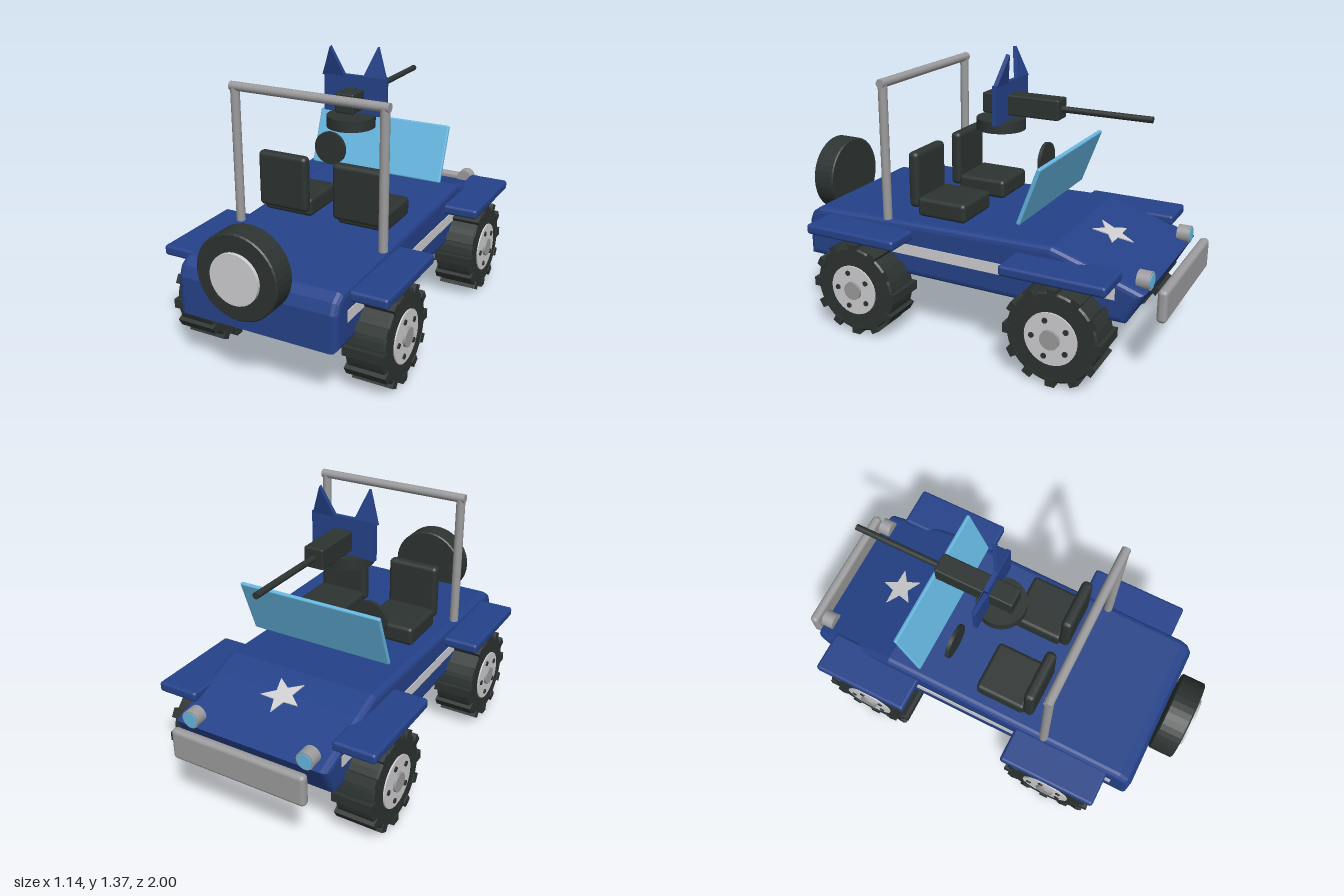
import * as THREE from 'three';
import { RoundedBoxGeometry } from 'three/addons/geometries/RoundedBoxGeometry.js';

function material(name, color) {
  const m = new THREE.MeshStandardMaterial({ color });
  m.name = name;
  return m;
}

export function createModel() {
  const blue = material('body blue', 0x25428a);
  const dark = material('rubber black', 0x2d3432);
  const light = material('light grey', 0xd0d0d2);
  const grey = material('metal grey', 0x9c9c9e);
  const glass = material('glass blue', 0x66b8e2);

  const root = new THREE.Group();
  root.name = 'offRoadCar';

  function add(name, geometry, mat, x = 0, y = 0, z = 0, parent = root) {
    const mesh = new THREE.Mesh(geometry, mat);
    mesh.name = name;
    mesh.position.set(x, y, z);
    parent.add(mesh);
    return mesh;
  }
  const rounded = (w, h, d, r) => new RoundedBoxGeometry(w, h, d, 3, r);
  const cylX = (r, len, n = 32) => new THREE.CylinderGeometry(r, r, len, n).rotateZ(-Math.PI / 2);
  const cylZ = (r, len, n = 32) => new THREE.CylinderGeometry(r, r, len, n).rotateX(Math.PI / 2);
  const shapeOf = (pts) => new THREE.Shape(pts.map(([a, b]) => new THREE.Vector2(a, b)));

  // Hull: side profile (z, y) extruded across the width
  const bevel = 0.03;
  const profile = shapeOf([
    [0.866, 0.30], [0.866, 0.48], [0.845, 0.53], [0.80, 0.56],
    [-0.48, 0.594], [-0.62, 0.552], [-0.916, 0.455], [-0.834, 0.30],
  ]);
  const hull = new THREE.ExtrudeGeometry(profile, {
    depth: 0.8 - 2 * bevel, bevelEnabled: true, bevelSize: bevel,
    bevelOffset: -bevel, bevelThickness: bevel, bevelSegments: 3,
  });
  hull.translate(0, 0, -0.4 + bevel).rotateY(-Math.PI / 2);
  add('body', hull, blue);

  // Fenders and side stripes
  for (const s of [1, -1]) {
    add('rearFender', rounded(0.21, 0.05, 0.5, 0.015), blue, s * 0.465, 0.515, 0.49);
    add('frontFender', rounded(0.21, 0.05, 0.5, 0.015), blue, s * 0.465, 0.515, -0.555);
    add('sideStripe', new THREE.BoxGeometry(0.008, 0.054, 1.556), light, s * 0.4, 0.438, -0.008);
  }

  // Wheels, outer face towards local +x
  function tyre(r, width, edge) {
    const h = width / 2;
    const pts = [[0, -h], [r - edge, -h], [r, -h + edge], [r, h - edge], [r - edge, h], [0, h]];
    // Each band gets its own points so that its edges stay sharp
    const geo = new THREE.LatheGeometry(pts.map(([a, b]) => new THREE.Vector2(a, b)), 40).toNonIndexed();
    geo.computeVertexNormals();
    return geo.rotateZ(-Math.PI / 2);
  }
  function wheel(x, z) {
    const g = new THREE.Group();
    g.name = 'wheel';
    g.position.set(x, 0.235, z);
    if (x < 0) g.rotation.y = Math.PI;
    add('tyre', tyre(0.217, 0.19, 0.008), dark, 0, 0, 0, g);
    for (let i = 0; i < 12; i++) {
      const a = (i / 12) * Math.PI * 2;
      const lug = add('treadLug', new THREE.BoxGeometry(0.2, 0.04, 0.045), dark,
        0, 0.215 * Math.cos(a), 0.215 * Math.sin(a), g);
      lug.rotation.x = a;
    }
    add('rim', cylX(0.126, 0.02), light, 0.092, 0, 0, g);
    add('hubCap', cylX(0.046, 0.03), grey, 0.1, 0, 0, g);
    for (let i = 0; i < 5; i++) {
      const a = (i / 5) * Math.PI * 2 + 0.3;
      add('wheelNut', cylX(0.013, 0.02, 10), dark, 0.098, 0.09 * Math.cos(a), 0.09 * Math.sin(a), g);
    }
    root.add(g);
  }
  for (const x of [0.448, -0.448]) for (const z of [0.49, -0.555]) wheel(x, z);

  // Spare wheel on the tail
  const spare = add('spareTyre', tyre(0.198, 0.12, 0.006), dark, 0, 0.615, 0.923);
  spare.rotation.y = -Math.PI / 2;
  add('spareRim', cylZ(0.117, 0.03), light, 0, 0.615, 0.985);

  // Seats
  for (const s of [1, -1]) {
    add('seatCushion', rounded(0.262, 0.095, 0.26, 0.02), dark, s * 0.2, 0.637, 0.12);
    add('seatBack', rounded(0.262, 0.276, 0.055, 0.022), dark, s * 0.2, 0.766, 0.271);
  }

  // Roll bar
  for (const s of [1, -1]) {
    add('rollBarPost', new THREE.CylinderGeometry(0.022, 0.022, 0.67, 12), grey, s * 0.38, 0.905, 0.388);
  }
  add('rollBarTop', cylX(0.022, 0.804, 12), grey, 0, 1.235, 0.388);

  // Windscreen leaning towards the tail at its base
  const screen = add('windscreen', rounded(0.74, 0.295, 0.02, 0.008), glass, 0, 0.795, -0.354);
  screen.rotation.x = -0.355;
  add('steeringWheel', cylZ(0.088, 0.018), dark, -0.2, 0.793, -0.184);

  // Front bumper and headlights
  add('bumper', rounded(0.692, 0.155, 0.046, 0.02), grey, 0, 0.393, -0.977);
  for (const s of [1, -1]) {
    add('headlight', cylZ(0.043, 0.06), grey, s * 0.3, 0.487, -0.886);
    add('headlightLens', cylZ(0.036, 0.008), glass, s * 0.3, 0.487, -0.916);
  }

  // Star lying on the sloped bonnet
  const star = [];
  for (let i = 0; i < 10; i++) {
    const a = Math.PI / 2 + (i * Math.PI) / 5;
    const r = i % 2 ? 0.044 : 0.106;
    star.push([r * Math.cos(a), r * Math.sin(a)]);
  }
  const starGeo = new THREE.ExtrudeGeometry(shapeOf(star), { depth: 0.008, bevelEnabled: false });
  const bonnetStar = add('bonnetStar', starGeo.rotateX(-Math.PI / 2), light, 0, 0.547, -0.625);
  bonnetStar.rotation.x = -0.305;

  // Roof gun: turntable, receiver and barrel
  add('gunTurntable', new THREE.CylinderGeometry(0.12, 0.12, 0.056, 32), dark, 0, 1.013, -0.032);
  add('gunReceiver', rounded(0.098, 0.098, 0.396, 0.008), dark, 0, 1.114, -0.153);
  add('gunBarrel', cylZ(0.015, 0.45, 16), dark, 0, 1.114, -0.561);

  // Shield with two pointed ears leaning opposite ways
  add('gunShield', new THREE.BoxGeometry(0.336, 0.19, 0.022), blue, 0, 1.131, -0.081);
  const ear = new THREE.ExtrudeGeometry(shapeOf([[-0.062, 0], [0.062, 0], [0, 0.155]]),
    { depth: 0.02, bevelEnabled: false }).translate(0, 0, -0.01);
  for (const s of [1, -1]) {
    const mesh = add('shieldEar', ear, blue, s * 0.11 - 0.007, 1.215, -0.081);
    mesh.rotation.x = -s * 0.25;
  }

  return root;
}
